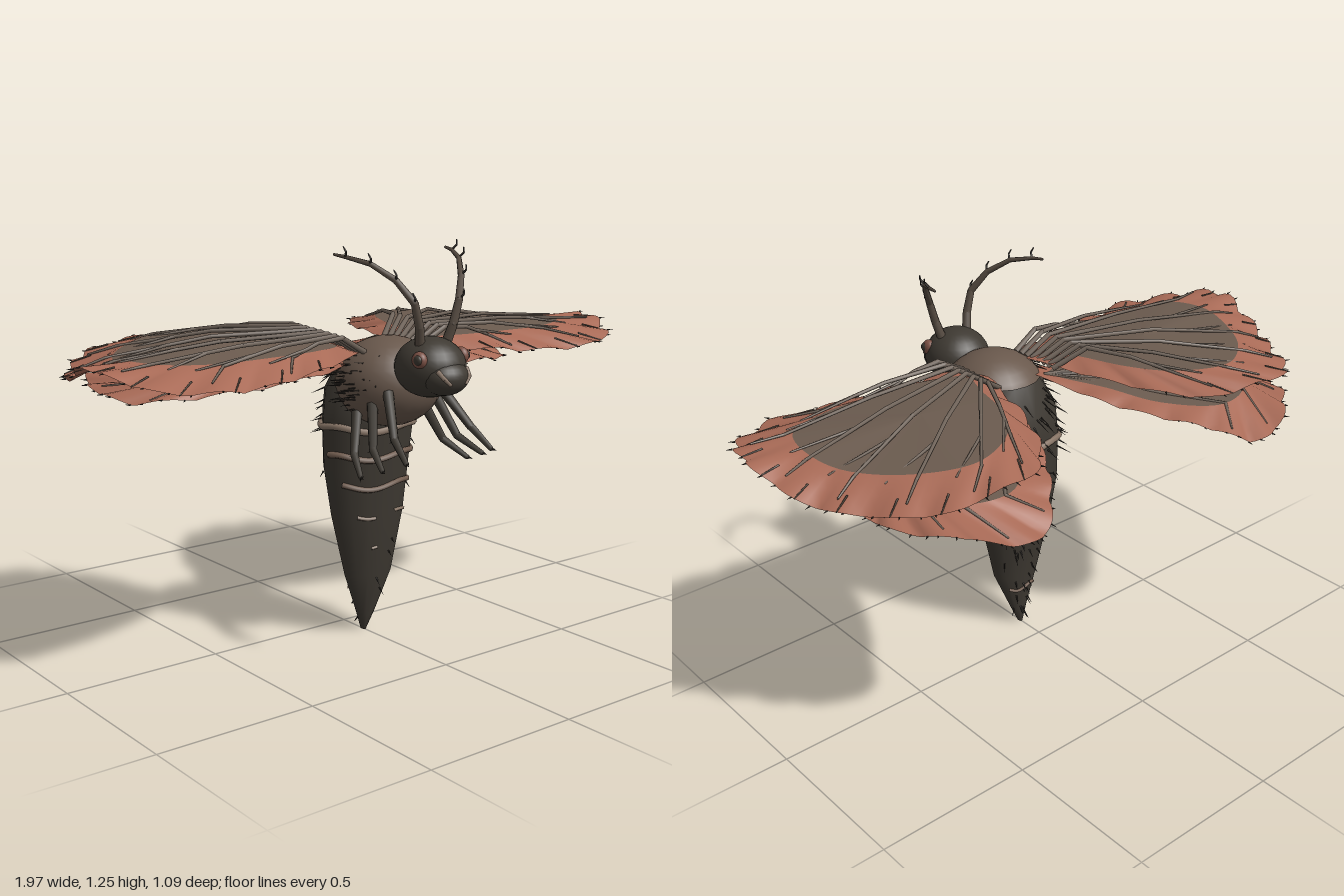
import * as THREE from 'three';
import { mergeGeometries } from 'three/addons/utils/BufferGeometryUtils.js';

const V = (x, y, z) => new THREE.Vector3(x, y, z);
const mat = (name, color, side = THREE.FrontSide) => {
  const m = new THREE.MeshStandardMaterial({ color, side });
  m.name = name;
  return m;
};

export function createModel() {
  const root = new THREE.Group();
  root.name = 'moth';
  const dark = mat('darkBody', 0x3e3932);
  const brown = mat('brownThorax', 0x69584c);
  const wingBrown = mat('wingBrown', 0x6b5b4f, THREE.DoubleSide);
  const rust = mat('rustMargin', 0xa86a56, THREE.DoubleSide);
  const vein = mat('veinGrey', 0x70645a);
  const horn = mat('antennaBrown', 0x574c42);
  const tan = mat('bandTan', 0x8a7768);
  const bandBrown = mat('bandBrown', 0x735e50);
  const red = mat('eyeRed', 0x7c5145);
  const hair = mat('bristleBlack', 0x302b27);

  let seed = 7;
  const rnd = () => (seed = (seed * 16807) % 2147483647) / 2147483647;
  const add = (name, geo, m, parent = root) => {
    const mesh = new THREE.Mesh(geo, m);
    mesh.name = name;
    parent.add(mesh);
    return mesh;
  };
  const ball = (name, p, r, m) => {
    const mesh = add(name, new THREE.SphereGeometry(1, 24, 16), m);
    mesh.position.copy(p);
    mesh.scale.copy(r);
  };
  // Tapered rod between two points
  const rod = (a, b, ra, rb, sides = 7) => {
    const d = b.clone().sub(a);
    const g = new THREE.CylinderGeometry(rb, ra, d.length(), sides);
    g.applyQuaternion(new THREE.Quaternion().setFromUnitVectors(V(0, 1, 0), d.clone().normalize()));
    return g.translate(...a.clone().add(b).multiplyScalar(0.5).toArray());
  };
  // Jointed limb tapering along its points
  const limb = (pts, r0, r1) => {
    const n = pts.length - 1, parts = [];
    const r = i => r0 + (r1 - r0) * i / n;
    for (let i = 0; i < n; i++) {
      parts.push(rod(pts[i], pts[i + 1], r(i), r(i + 1)));
      parts.push(new THREE.SphereGeometry(r(i + 1), 7, 5).translate(...pts[i + 1].toArray()));
    }
    return mergeGeometries(parts);
  };
  const bristles = [];
  const bristle = (p, dir, len, r = 0.003) =>
    bristles.push(rod(p, p.clone().addScaledVector(dir.normalize(), len), r, 0.0004, 4));

  // Abdomen sections: y, front z, back z, half width
  const sections = [[0, .112, .09, .006], [.06, .136, .084, .03], [.2, .176, .07, .086],
    [.4, .205, .03, .13], [.55, .217, .006, .15], [.7, .236, .006, .16], [.8, .24, .015, .155], [.9, .2, .06, .1]];
  const abdomenAt = (y, a, k = 1) => {
    let i = 0;
    while (i < sections.length - 2 && sections[i + 1][0] < y) i++;
    const [p, q] = [sections[i], sections[i + 1]];
    const t = (y - p[0]) / (q[0] - p[0]);
    const [f, b, w] = [1, 2, 3].map(j => p[j] + (q[j] - p[j]) * t);
    return V(Math.sin(a) * w * k, y, (f + b) / 2 + Math.cos(a) * (f - b) / 2 * k);
  };
  const SEG = 14, pos = [], idx = [];
  sections.forEach(([y], j) => {
    for (let i = 0; i < SEG; i++) {
      pos.push(...abdomenAt(y, i / SEG * Math.PI * 2).toArray());
      const a = j * SEG + i, b = j * SEG + (i + 1) % SEG;
      if (j < sections.length - 1) idx.push(a, b, b + SEG, a, b + SEG, a + SEG);
      if (j === 0 && i > 1) idx.push(0, i, i - 1);
    }
  });
  const abdomen = new THREE.BufferGeometry();
  abdomen.setAttribute('position', new THREE.Float32BufferAttribute(pos, 3));
  abdomen.setIndex(idx);
  abdomen.computeVertexNormals();
  add('abdomen', abdomen, dark);

  // Raised bands: y, start angle, end angle, radius, colour
  [[.69, -3.14, 3.14, .011, tan], [.6, -1.5, 1.5, .01, bandBrown], [.505, -1.1, 1.1, .009, bandBrown],
    [.41, -.75, -.25, .006, tan], [.41, .3, .85, .006, tan], [.31, -.35, -.15, .005, tan],
    [.14, 2.2, 4.1, .006, bandBrown]].forEach(([y, a, b, r, m]) => {
    const pts = [];
    for (let i = 0; i <= 24; i++) {
      const t = a + (b - a) * i / 24;
      pts.push(abdomenAt(y + Math.sin(t * 4) * .007 - Math.cos(t) * .008, t, 1.01));
    }
    add('abdomenBand', new THREE.TubeGeometry(new THREE.CatmullRomCurve3(pts), 48, r, 6), m);
  });

  // Thorax and head
  ball('thorax', V(0, .83, .22), V(.165, .138, .165), brown);
  ball('head', V(0, .897, .41), V(.105, .09, .108), dark);
  ball('snout', V(0, .874, .475), V(.075, .053, .065), dark);

  // Wing: patch fanned from a centre, then a margin out to a scalloped edge
  const N = 90;
  const wing = (s, name, centre, inner, outer, wave) => {
    const g = new THREE.Group();
    g.name = name;
    root.add(g);
    const curve = list => new THREE.CatmullRomCurve3(list.map(p => V(s * p[0], p[1], p[2])), true);
    const I = curve(inner), O = curve(outer), c = V(s * centre[0], centre[1], centre[2]);
    const edge = t => {
      const p = O.getPoint(t), k = Math.abs(Math.sin(t * Math.PI * wave));
      p.x = c.x + (p.x - c.x) * (.965 + .043 * k);
      p.z = c.z + (p.z - c.z) * (.965 + .043 * k);
      p.y += .016 * (k - .6);
      return p;
    };
    const surface = (from, to, rows) => {
      const P = [], X = [];
      for (let j = 0; j <= rows; j++) for (let i = 0; i <= N; i++) {
        const p = from(i / N).lerp(to(i / N), j / rows);
        P.push(...p.toArray());
        const a = j * (N + 1) + i, b = a + N + 1;
        if (j < rows && i < N) s > 0 ? X.push(a, b, a + 1, a + 1, b, b + 1) : X.push(a, a + 1, b, a + 1, b + 1, b);
      }
      const geo = new THREE.BufferGeometry();
      geo.setAttribute('position', new THREE.Float32BufferAttribute(P, 3));
      geo.setIndex(X);
      geo.computeVertexNormals();
      return geo;
    };
    const mid = t => I.getPoint(t);
    add(name + 'Patch', surface(() => c.clone(), mid, 4), wingBrown, g);
    add(name + 'Margin', surface(mid, edge, 4), rust, g);
    // Edge bristles
    for (let i = 0; i < 40; i++) {
      const p = edge((i + .5 * rnd()) / 40), d = p.clone().sub(c);
      if (s * p.x < .25) continue;
      d.y = (rnd() - .5) * .15;
      bristle(p, d, .01 + rnd() * .01);
    }
    return { g, mid, edge };
  };

  for (const s of [1, -1]) {
    const side = s > 0 ? 'left' : 'right';
    const S = (x, y, z) => V(s * x, y, z);

    const fore = wing(s, side + 'Forewing', [.45, .97, .0],
      [[.16, .945, .17], [.2, .955, .03], [.25, .96, -.13], [.33, .96, -.245], [.5, .955, -.315], [.67, .94, -.22],
        [.78, .935, -.07], [.81, .95, .06], [.77, .95, .18], [.64, .945, .235], [.45, .945, .24], [.27, .945, .22]],
      [[.1, .93, .21], [.13, .935, .0], [.19, .93, -.17], [.26, .925, -.31], [.37, .92, -.42], [.5, .93, -.44],
        [.65, .91, -.43], [.75, .895, -.36], [.84, .88, -.23], [.91, .885, -.12], [.95, .915, 0], [.97, .95, .11],
        [.94, .935, .22], [.87, .905, .32], [.73, .895, .385], [.56, .89, .37], [.4, .9, .34], [.24, .915, .29]], 16);

    const hind = wing(s, side + 'Hindwing', [.42, .875, -.13],
      [[.13, .895, .1], [.2, .89, -.1], [.28, .87, -.25], [.42, .86, -.37], [.55, .86, -.35], [.63, .86, -.24],
        [.65, .855, -.1], [.57, .86, .0], [.4, .875, .08], [.24, .885, .13]],
      [[.08, .9, .17], [.12, .88, -.04], [.165, .865, -.18], [.24, .85, -.32], [.325, .83, -.43], [.42, .79, -.52],
        [.53, .795, -.52], [.65, .835, -.45], [.73, .825, -.34], [.77, .82, -.2], [.74, .805, -.04], [.6, .82, .07],
        [.4, .84, .14], [.2, .87, .19]], 14);

    // Forewing veins arch up from the shoulder and settle on the surface
    [.24, .32, .4, .475, .56, .66, .77, .87].forEach((u, i) => {
      const t = i / 7, a = S(.11, .93, .06 + t * .18), b = S(.2, .995 - t * .015, .0 + t * .25);
      const e = fore.mid(u).lerp(fore.edge(u), .15), m = b.clone().lerp(e, .5);
      m.y = .988 - .015 * t;
      e.y += .004;
      const f = fore.mid(u).lerp(fore.edge(u), .7), v = u + (t < .8 ? .035 : -.035);
      f.y += .003;
      add('forewingVein', limb([a, b, m, e, f], .0095, .003), vein, fore.g);
      const k = m.clone().lerp(e, .4), h = fore.mid(v).lerp(fore.edge(v), .2);
      add('forewingVeinBranch', limb([k, h], .005, .003), vein, fore.g);
    });
    // Hindwing veins
    [.32, .42, .52, .62, .72].forEach(t => {
      add('hindwingVein', limb([S(.11, .895, .1), hind.mid(t), hind.mid(t).lerp(hind.edge(t), .8)], .007, .003), vein, hind.g);
    });
    // Short dark ribs in the forewing margin
    for (let i = 4; i < 17; i++) {
      const t = (i + .4) / 18, a = fore.mid(t).lerp(fore.edge(t), .6), b = fore.edge(t);
      a.y += .004;
      add('marginRib', rod(a, b, .003, .002, 5), horn, fore.g);
    }

    // Face
    ball(side + 'Eye', S(.08, .928, .455), V(.02, .026, .026), red);
    ball(side + 'Pupil', S(.093, .93, .462), V(.01, .015, .015), dark);
    add(side + 'Palp', limb([S(.055, .9, .505), S(.048, .88, .526), S(.03, .862, .533)], .008, .005), tan);

    // Antenna with short curved barbs
    const ant = [S(.05, .96, .42), S(.065, 1.02, .435), S(.085, 1.09, .436), S(.125, 1.155, .4), S(.17, 1.2, .34), S(.205, 1.217, .27), S(.215, 1.222, .23)];
    const antenna = new THREE.Group();
    antenna.name = side + 'Antenna';
    root.add(antenna);
    add('antennaStalk', limb(ant, .016, .004), horn, antenna);
    for (let i = 2; i < 6; i++) {
      const p = ant[i], k = p.clone().add(S(.008, .016, .013));
      add('antennaBarb', limb([p, k, k.clone().add(S(.005, .014, -.006))], .004, .002), hair, antenna);
    }

    // Three pairs of legs
    [[[.1, .82, .34], [.15, .7, .43], [.165, .645, .5]],
      [[.12, .79, .29], [.165, .66, .35], [.195, .615, .43]],
      [[.13, .75, .23], [.175, .635, .275], [.21, .585, .35]]].forEach(p => {
      const pts = p.map(q => S(...q));
      add(side + 'Leg', limb(pts, .017, .008), dark);
      bristle(pts[2], S(.3, -.2, 1), .02, .006);
      bristle(pts[1], S(.6, -.5, -.5), .018);
    });
  }

  // Thorax fur on the flanks and a ruff at the back
  for (let i = 0; i < 90; i++) {
    const a = (rnd() < .5 ? 1 : -1) * (.9 + rnd() * 1.1), h = (rnd() - .5) * 1.5;
    const n = V(Math.sin(a) * Math.cos(h), Math.sin(h), Math.cos(a) * Math.cos(h));
    bristle(V(n.x * .163, .83 + n.y * .136, .22 + n.z * .163), V(n.x * .35, n.y * .2 - .15, -1), .03 + rnd() * .02);
  }
  for (let i = 0; i < 50; i++) {
    const a = Math.PI + (rnd() - .5) * 2.2;
    bristle(abdomenAt(.66 + rnd() * .22, a), V(Math.sin(a) * .6, -.3 - rnd() * .5, -.8), .03 + rnd() * .03);
  }
  // Sparse spines down the back of the abdomen, few elsewhere
  for (let i = 0; i < 60; i++) {
    const a = i < 42 ? Math.PI + (rnd() - .5) * 1.2 : rnd() * 6.28;
    bristle(abdomenAt(.04 + rnd() * .6, a), V(Math.sin(a) * .6, -1, Math.cos(a) * .8), .018 + rnd() * .016);
  }
  add('bristles', mergeGeometries(bristles), hair);
  return root;
}
